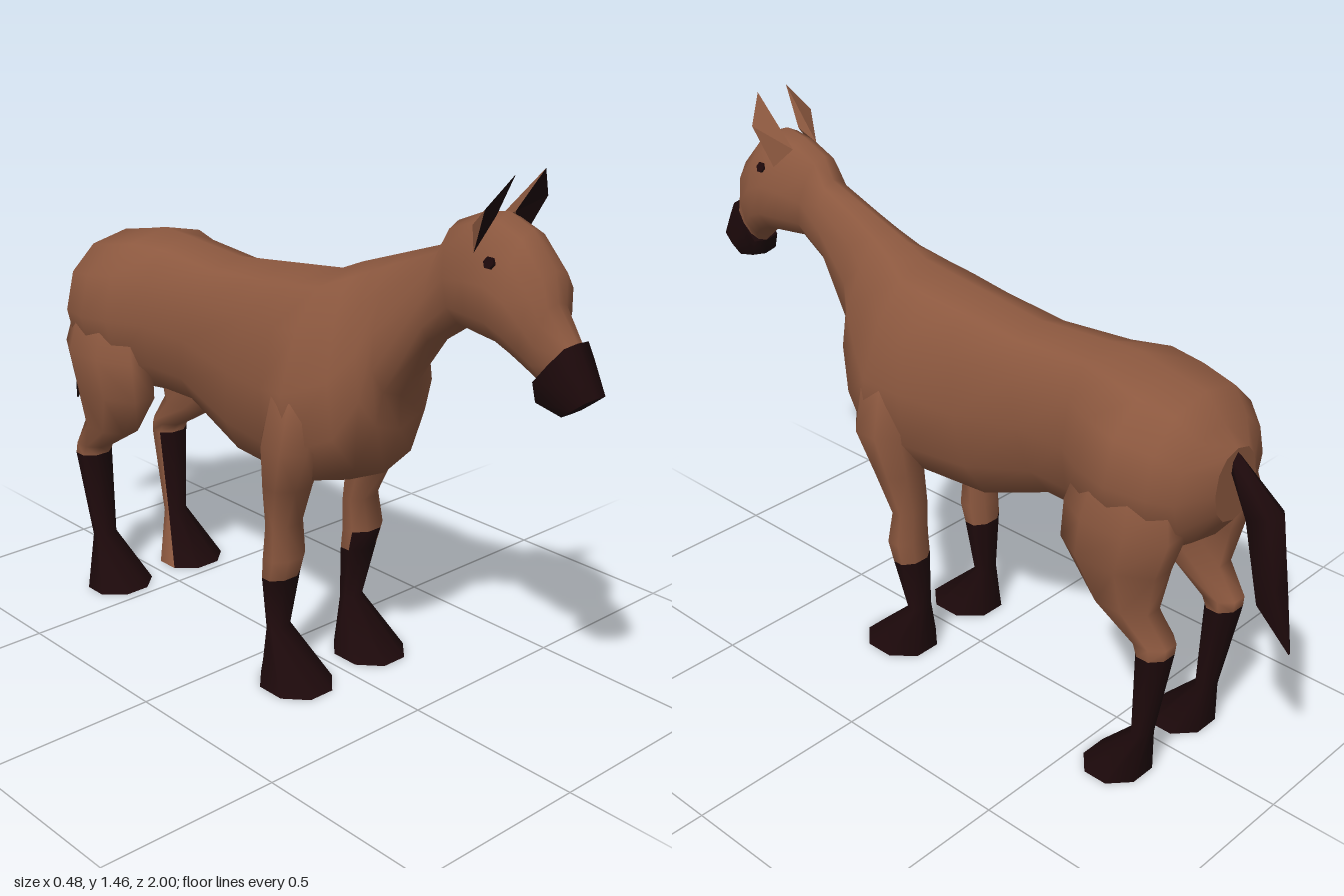
import * as THREE from 'three';

const coat = new THREE.MeshStandardMaterial({ color: 0x8c583f });
coat.name = 'brownCoat';
const dark = new THREE.MeshStandardMaterial({ color: 0x1d090b });
dark.name = 'darkPoints';
const mats = [coat, dark];

// Skin a list of closed rings; pick(band, strip) chooses the material of each quad.
function loft(name, rings, pick) {
  const n = rings[0].length, pos = [], lists = [[], []];
  rings.forEach(r => r.forEach(p => pos.push(p.x, p.y, p.z)));
  for (let i = 0; i < rings.length - 1; i++) {
    for (let j = 0; j < n; j++) {
      const k = (j + 1) % n, a = i * n + j, b = i * n + k, c = a + n, d = b + n;
      lists[pick(i, j)].push(a, b, d, a, d, c);
    }
  }
  // end caps with their own vertices, so that the rims stay crisp
  [0, rings.length - 1].forEach((i, end) => {
    const start = pos.length / 3;
    const mid = new THREE.Vector3();
    rings[i].forEach(p => { pos.push(p.x, p.y, p.z); mid.addScaledVector(p, 1 / n); });
    pos.push(mid.x, mid.y, mid.z);
    const list = lists[pick(Math.min(i, rings.length - 2), 0)];
    for (let j = 0; j < n; j++) {
      const a = start + j, b = start + (j + 1) % n;
      if (end) list.push(a, b, start + n); else list.push(b, a, start + n);
    }
  });
  // turn every face outwards
  const index = [...lists[0], ...lists[1]];
  const v = i => new THREE.Vector3().fromArray(pos, i * 3);
  let volume = 0;
  for (let i = 0; i < index.length; i += 3) volume += v(index[i]).dot(v(index[i + 1]).cross(v(index[i + 2])));
  if (volume < 0) for (let i = 0; i < index.length; i += 3) [index[i], index[i + 1]] = [index[i + 1], index[i]];

  const g = new THREE.BufferGeometry();
  g.setAttribute('position', new THREE.Float32BufferAttribute(pos, 3));
  g.setIndex(index);
  g.addGroup(0, lists[0].length, 0);
  g.addGroup(lists[0].length, lists[1].length, 1);
  g.computeVertexNormals();
  const mesh = new THREE.Mesh(g, mats);
  mesh.name = name;
  return mesh;
}

const soft = (t, e) => Math.sign(t) * Math.pow(Math.abs(t), e);

// Ring spanning a top and a bottom point in the side plane, with a half width;
// sag narrows it towards the top.
function spineRing([tz, ty, bz, by, w, sag = 0], n, e = 1) {
  return Array.from({ length: n }, (_, j) => {
    const a = j / n * Math.PI * 2, c = soft(Math.cos(a), e), s = soft(Math.sin(a), e);
    const x = w * s * (1 - sag * Math.max(c, -0.45));
    return new THREE.Vector3(x, (ty + by) / 2 + c * (ty - by) / 2, (tz + bz) / 2 + c * (tz - bz) / 2);
  });
}

// Level ring filling a box in x and z.
function legRing([y, x0, x1, z0, z1], side) {
  return Array.from({ length: 8 }, (_, j) => {
    const a = (j + 0.5) / 8 * Math.PI * 2, c = Math.cos(a) / 0.924, s = Math.sin(a) / 0.924;
    return new THREE.Vector3(side * ((x0 + x1) / 2 + c * (x1 - x0) / 2), y, (z0 + z1) / 2 + s * (z1 - z0) / 2);
  });
}

function ear(side) {
  // inner, low, outer, tip, back
  const p = [[0.032, 1.35, 0.72], [0.08, 1.27, 0.7], [0.105, 1.38, 0.75], [0.05, 1.455, 0.785], [0.042, 1.32, 0.66]];
  const faces = [[0, 1, 2], [0, 2, 3], [2, 1, 4], [3, 2, 4], [0, 3, 4], [1, 0, 4]];
  const pos = faces.flatMap(f => (side > 0 ? f : [f[0], f[2], f[1]]).flatMap(i => [p[i][0] * side, p[i][1], p[i][2]]));
  const g = new THREE.BufferGeometry();
  g.setAttribute('position', new THREE.Float32BufferAttribute(pos, 3));
  g.addGroup(0, 6, 1);
  g.addGroup(6, 12, 0);
  g.computeVertexNormals();
  const mesh = new THREE.Mesh(g, mats);
  mesh.name = side > 0 ? 'leftEar' : 'rightEar';
  return mesh;
}

export function createModel() {
  const horse = new THREE.Group();
  horse.name = 'horse';

  // Rump, barrel, chest, neck and head in one skin: top z, y, bottom z, y, half width, sag
  const body = [
    [-0.81, 0.94, -0.812, 0.75, 0.08],
    [-0.765, 0.99, -0.765, 0.69, 0.175],
    [-0.71, 1.05, -0.71, 0.65, 0.215],
    [-0.61, 1.07, -0.61, 0.64, 0.238],
    [-0.52, 1.09, -0.51, 0.63, 0.222],
    [-0.42, 1.085, -0.42, 0.63, 0.165],
    [-0.2, 1.07, -0.32, 0.63, 0.155],
    [0.0, 1.095, -0.11, 0.54, 0.168, 0.05],
    [0.12, 1.11, 0.1, 0.54, 0.198, 0.15],
    [0.2, 1.12, 0.23, 0.56, 0.22, 0.27],
    [0.27, 1.15, 0.36, 0.62, 0.16, 0.35],
    [0.34, 1.175, 0.41, 0.75, 0.125, 0.35],
    [0.41, 1.2, 0.41, 0.84, 0.1, 0.3],
    [0.55, 1.25, 0.53, 1.0, 0.07, 0.1],
    [0.58, 1.31, 0.63, 1.07, 0.077, 0.2],
    [0.66, 1.345, 0.7, 1.065, 0.095, 0.35],
    [0.73, 1.357, 0.76, 1.058, 0.1, 0.35],
    [0.8, 1.33, 0.8, 1.04, 0.098, 0.3],
    [0.87, 1.25, 0.83, 1.02, 0.088, 0.1],
    [0.88, 1.18, 0.848, 1.0, 0.06],
    [0.94, 1.1, 0.85, 0.995, 0.045],
  ];
  horse.add(loft('bodyNeckAndHead', body.map(r => spineRing(r, 12, 0.9)), () => 0));

  // Boxy dark muzzle
  const muzzle = [
    [0.94, 1.102, 0.849, 0.995, 0.047],
    [0.96, 1.065, 0.86, 0.95, 0.047],
    [1.0, 0.99, 0.93, 0.935, 0.038],
  ];
  horse.add(loft('muzzle', muzzle.map(r => spineRing(r, 8, 0.3)), () => 1));

  // Tail, ridged along its back
  const tail = [
    [-0.805, 0.935, -0.79, 0.89, 0.015],
    [-0.95, 0.81, -0.86, 0.8, 0.052, 0.6],
    [-0.975, 0.64, -0.91, 0.57, 0.045, 0.6],
    [-1.0, 0.46, -0.997, 0.455, 0.003],
  ];
  horse.add(loft('tail', tail.map(r => spineRing(r, 6)), () => 1));

  // Legs: y, inner x, outer x, back z, front z
  const frontLeg = [
    [0.93, 0.05, 0.14, 0.14, 0.25],
    [0.82, 0.07, 0.21, 0.12, 0.28],
    [0.69, 0.08, 0.238, 0.11, 0.28],
    [0.57, 0.08, 0.215, 0.105, 0.22],
    [0.45, 0.085, 0.19, 0.1, 0.17],
    [0.36, 0.085, 0.2, 0.095, 0.185],
    [0.3, 0.088, 0.195, 0.09, 0.165],
    [0.14, 0.1, 0.168, 0.085, 0.13],
    [0, 0.043, 0.227, 0.08, 0.28],
  ];
  const hindLeg = [
    [0.97, 0.05, 0.13, -0.69, -0.55],
    [0.85, 0.06, 0.21, -0.74, -0.48],
    [0.74, 0.06, 0.238, -0.765, -0.45],
    [0.63, 0.07, 0.23, -0.73, -0.44],
    [0.51, 0.085, 0.205, -0.705, -0.52],
    [0.43, 0.09, 0.19, -0.76, -0.65],
    [0.4, 0.09, 0.192, -0.757, -0.67],
    [0.14, 0.1, 0.168, -0.71, -0.66],
    [0, 0.043, 0.227, -0.695, -0.53],
  ];
  for (const side of [1, -1]) {
    const label = side > 0 ? 'left' : 'right';
    // the left front sock reaches higher on its front faces
    horse.add(loft(label + 'FrontLeg', frontLeg.map(r => legRing(r, side)),
      (i, j) => (i >= 6 || (i === 5 && side > 0 && (j === 1 || j === 2)) ? 1 : 0)));
    // the left hind sock leaves its inner face brown
    horse.add(loft(label + 'HindLeg', hindLeg.map(r => legRing(r, side)),
      (i, j) => (i >= 6 && !(side > 0 && j === 3) ? 1 : 0)));

    horse.add(ear(side));

    // Eye
    const eye = new THREE.Mesh(new THREE.CylinderGeometry(0.015, 0.015, 0.009, 6), dark);
    eye.name = label + 'Eye';
    eye.rotation.z = -side * (Math.PI / 2 - 0.36);
    eye.position.set(side * 0.083, 1.258, 0.75);
    horse.add(eye);
  }
  return horse;
}
